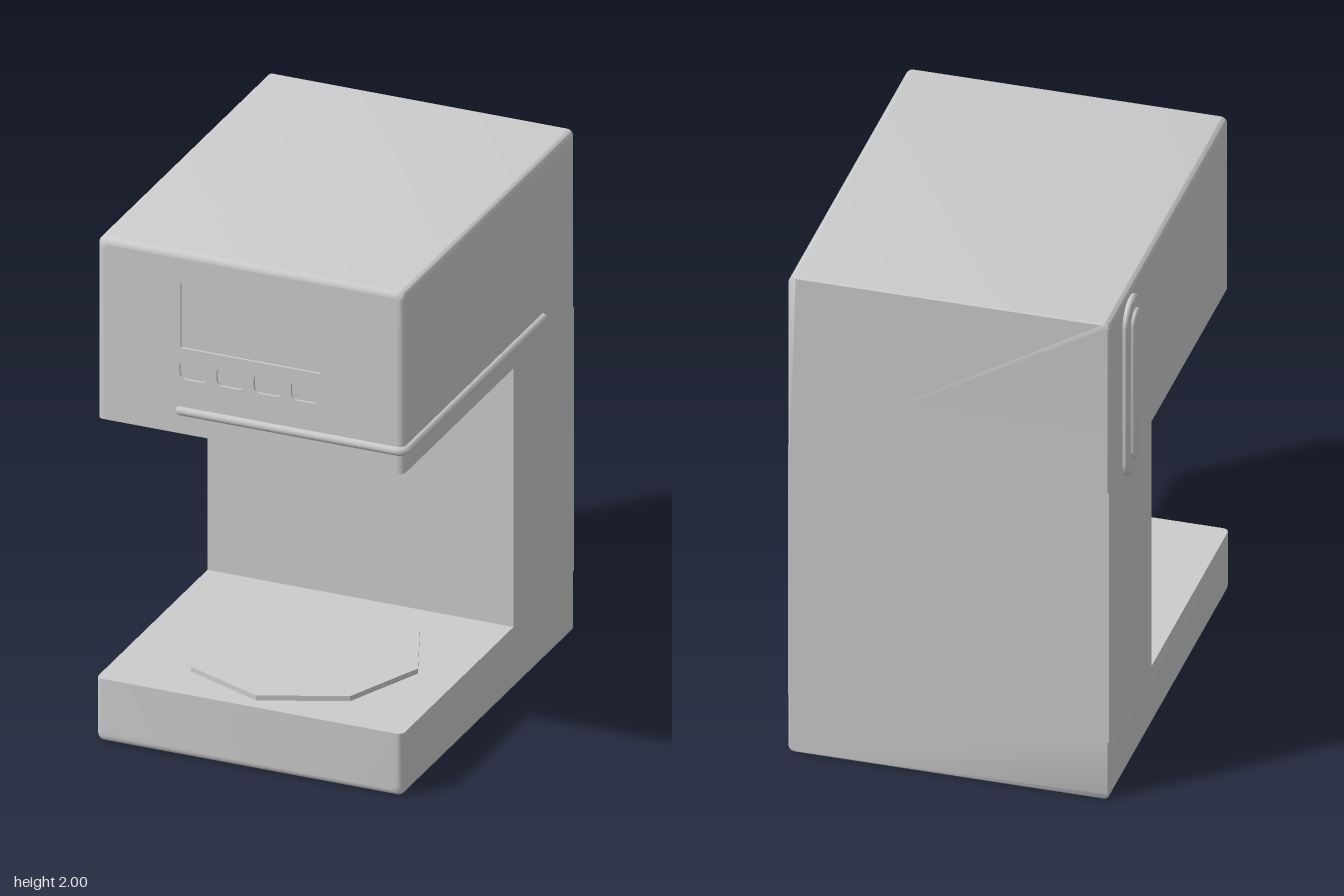
import * as THREE from 'three';
import { toCreasedNormals } from 'three/addons/utils/BufferGeometryUtils.js';
import { RoundedBoxGeometry } from 'three/addons/geometries/RoundedBoxGeometry.js';

const material = new THREE.MeshStandardMaterial({ color: 0xcccccc });
const LEFT = 0.608, RIGHT = -0.597, BACK = -0.77;
const R = 0.024; // edge rounding of the body

function add(group, name, geometry, x = 0, y = 0, z = 0) {
  const mesh = new THREE.Mesh(geometry, material);
  mesh.name = name;
  mesh.position.set(x, y, z);
  group.add(mesh);
}

// Counter-clockwise rectangle points with separate bottom and top corner radii
function roundedRect(x0, x1, y0, y1, rBottom, rTop) {
  const corners = [
    [x1, y0, -1, 1, rBottom], [x1, y1, -1, -1, rTop],
    [x0, y1, 1, -1, rTop], [x0, y0, 1, 1, rBottom],
  ];
  const pts = [];
  corners.forEach(([x, y, sx, sy, r], c) => {
    const steps = r > 0 ? 8 : 0;
    for (let i = 0; i <= steps; i++) {
      const a = (c - 1 + (steps ? i / steps : 0)) * Math.PI / 2;
      pts.push(new THREE.Vector2(x + r * (sx + Math.cos(a)), y + r * (sy + Math.sin(a))));
    }
  });
  return pts;
}

// Joins outlines along z, given [z, inset] pairs, and closes both ends
function loft(sections, makeOutline) {
  const rings = sections.map(([z, inset]) => makeOutline(inset).map(p => [p.x, p.y, z]));
  const n = rings[0].length, last = (rings.length - 1) * n, index = [];
  for (let a0 = 0; a0 < last; a0 += n) {
    for (let j = 0; j < n; j++) {
      const a = a0 + j, b = a0 + (j + 1) % n;
      index.push(a, b, b + n, a, b + n, a + n);
    }
  }
  for (let j = 1; j < n - 1; j++) {
    index.push(0, j + 1, j, last, last + j, last + j + 1);
  }
  const g = new THREE.BufferGeometry();
  g.setAttribute('position', new THREE.Float32BufferAttribute(rings.flat(2), 3));
  g.setIndex(index);
  return toCreasedNormals(g, 0.7);
}

// Sections with a crisp back and a rounded front
function roundedFront(front) {
  const list = [[BACK, 0.006], [BACK + 0.006, 0]];
  for (let i = 0; i <= 4; i++) {
    const a = (i / 4) * Math.PI / 2;
    list.push([front - R + R * Math.sin(a), R * (1 - Math.cos(a))]);
  }
  return list;
}

// Upright capsule-shaped plate growing outwards along -x
function capsulePlate(width, height, depth, bevel) {
  const w = width / 2 - bevel, h = height / 2 - bevel, r = w - 0.002;
  const g = new THREE.ExtrudeGeometry(new THREE.Shape(roundedRect(-w, w, -h, h, r, r)), {
    depth: depth - bevel, bevelEnabled: true, bevelSize: bevel, bevelThickness: bevel, bevelSegments: 3,
  });
  g.rotateY(-Math.PI / 2);
  return toCreasedNormals(g, 0.7);
}

export function createModel() {
  const group = new THREE.Group();
  group.name = 'coffeeMachine';

  // Base, column and head of the C-shaped body
  const front = 0.758, recess = 0.01;
  const baseOutline = i => roundedRect(RIGHT + i, LEFT - i, i, 0.25, R, 0);
  const headOutline = i => roundedRect(RIGHT + i, LEFT - i, 1.28, 2 - i, 0, R);
  add(group, 'base', loft(roundedFront(0.768), baseOutline));
  add(group, 'column', new THREE.BoxGeometry(LEFT - RIGHT, 1.05, 0.54), (LEFT + RIGHT) / 2, 0.765, BACK + 0.27);
  add(group, 'head', loft([...roundedFront(front), [front - recess, R]], headOutline));

  // Front panel with recessed display and four recessed buttons
  const panel = new THREE.Shape(headOutline(R));
  panel.holes.push(new THREE.Path(roundedRect(-0.27, 0.28, 1.62, 1.88, 0, 0)));
  for (let i = 0; i < 4; i++) {
    const x = -0.273 + i * 0.146;
    panel.holes.push(new THREE.Path(roundedRect(x, x + 0.11, 1.497, 1.573, 0.025, 0.025)));
  }
  add(group, 'frontPanel', new THREE.ExtrudeGeometry(panel, { depth: recess, bevelEnabled: false }),
    0, 0, front - recess);

  // Trim rail wrapping the front left corner
  const y = 1.37, rx = 0.608, rz = 0.755, c = 0.03, radius = 0.018;
  const ends = [[-0.27, rz], [rx, -0.488]];
  const v = (x, z) => new THREE.Vector3(x, y, z);
  const path = new THREE.CurvePath();
  path.add(new THREE.LineCurve3(v(...ends[0]), v(rx - c, rz)));
  path.add(new THREE.QuadraticBezierCurve3(v(rx - c, rz), v(rx, rz), v(rx, rz - c)));
  path.add(new THREE.LineCurve3(v(rx, rz - c), v(...ends[1])));
  add(group, 'trimRail', new THREE.TubeGeometry(path, 160, radius, 10));
  for (const [x, z] of ends) {
    add(group, 'trimRailEnd', new THREE.SphereGeometry(radius, 10, 8), x, y, z);
  }

  // Brew outlet under the head
  add(group, 'brewHead', new RoundedBoxGeometry(0.61, 0.1, 0.622, 3, 0.015), 0.01, 1.26, 0.268);
  add(group, 'brewNozzle', new RoundedBoxGeometry(0.21, 0.06, 0.207, 3, 0.008), 0.007, 1.21, 0.267);

  // Octagonal warming plate
  const plate = new THREE.CylinderGeometry(0.443, 0.443, 0.03, 8);
  add(group, 'warmingPlate', toCreasedNormals(plate, 0.5), 0.008, 0.255, 0.27);

  // Water level window on the right side
  add(group, 'waterWindowFrame', capsulePlate(0.18, 0.74, 0.02, 0.012), RIGHT, 1.6, -0.51);
  add(group, 'waterWindow', capsulePlate(0.1, 0.62, 0.034, 0.012), RIGHT, 1.61, -0.508);

  return group;
}
